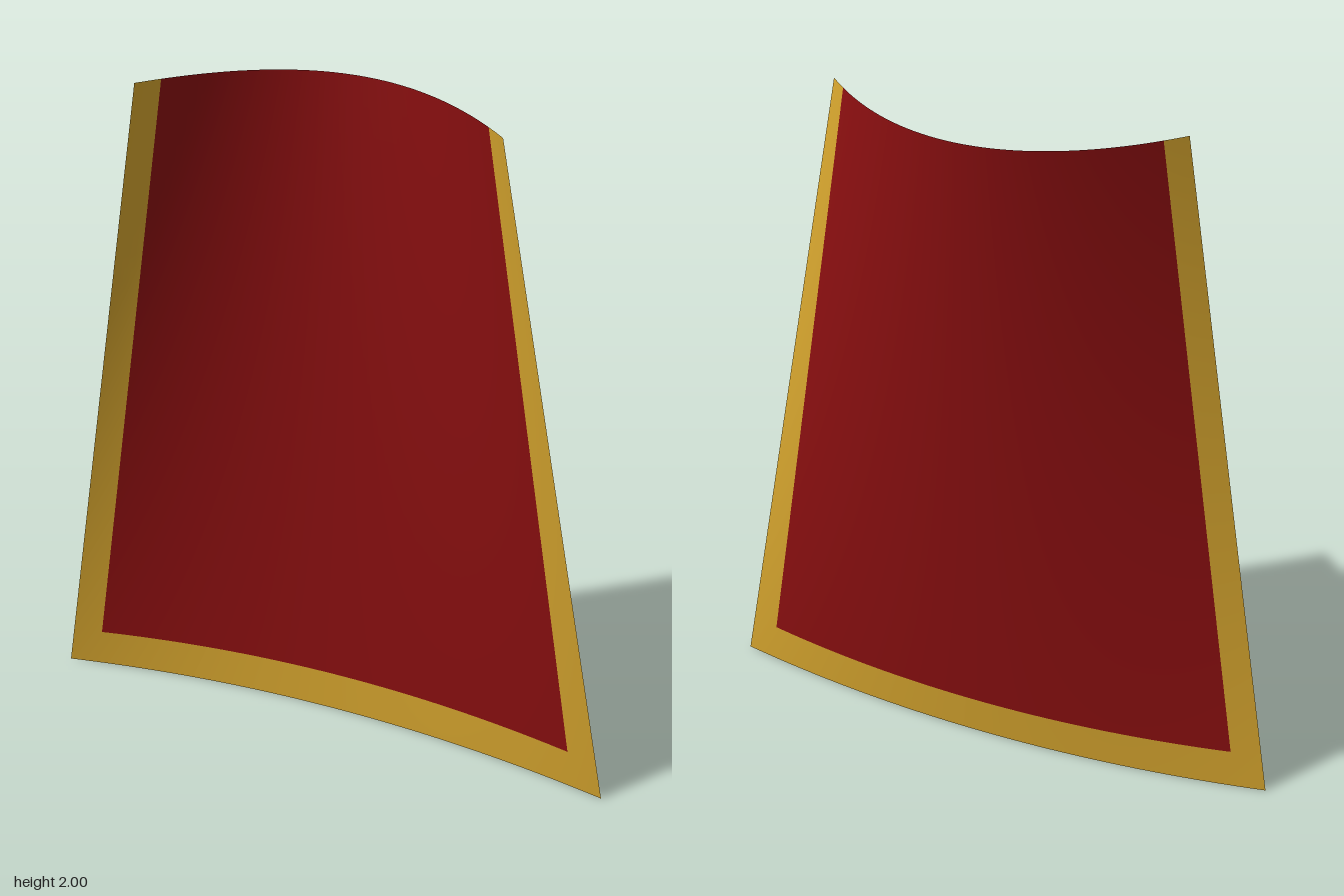
import * as THREE from 'three';
import { ParametricGeometry } from 'three/addons/geometries/ParametricGeometry.js';

const HEIGHT = 2;
const mix = THREE.MathUtils.lerp;

// Curved cloth surface: s runs -1..1 across, t runs 0..1 from hem to shoulders
function clothPoint(s, t, target) {
  const halfWidth = mix(0.86, 0.472, t);
  const middleZ = mix(-0.016, -0.125, t);
  const edgeZ = mix(0.067, 0.122, t);
  target.set(s * halfWidth, t * HEIGHT, mix(middleZ, edgeZ, s * s));
}

// One rectangular patch of the cloth
function panel(name, material, s0, s1, t0, t1, columns, rows) {
  const geometry = new ParametricGeometry(
    (u, v, target) => clothPoint(mix(s0, s1, u), mix(t0, t1, v), target),
    columns, rows
  );
  const mesh = new THREE.Mesh(geometry, material);
  mesh.name = name;
  return mesh;
}

export function createModel() {
  const red = new THREE.MeshStandardMaterial({ name: 'deep red cloth', color: 0x8b0f10, side: THREE.DoubleSide });
  const gold = new THREE.MeshStandardMaterial({ name: 'gold trim', color: 0xd6a52e, side: THREE.DoubleSide });

  const trimS = 0.895; // where the side trim begins
  const hemT = 0.065;  // top of the hem band

  const cape = new THREE.Group();
  cape.name = 'cape';
  cape.add(
    panel('cloth', red, -trimS, trimS, hemT, 1, 48, 24),
    panel('hemTrim', gold, -trimS, trimS, 0, hemT, 48, 2),
    panel('rightTrim', gold, -1, -trimS, 0, 1, 4, 24),
    panel('leftTrim', gold, trimS, 1, 0, 1, 4, 24)
  );
  return cape;
}
